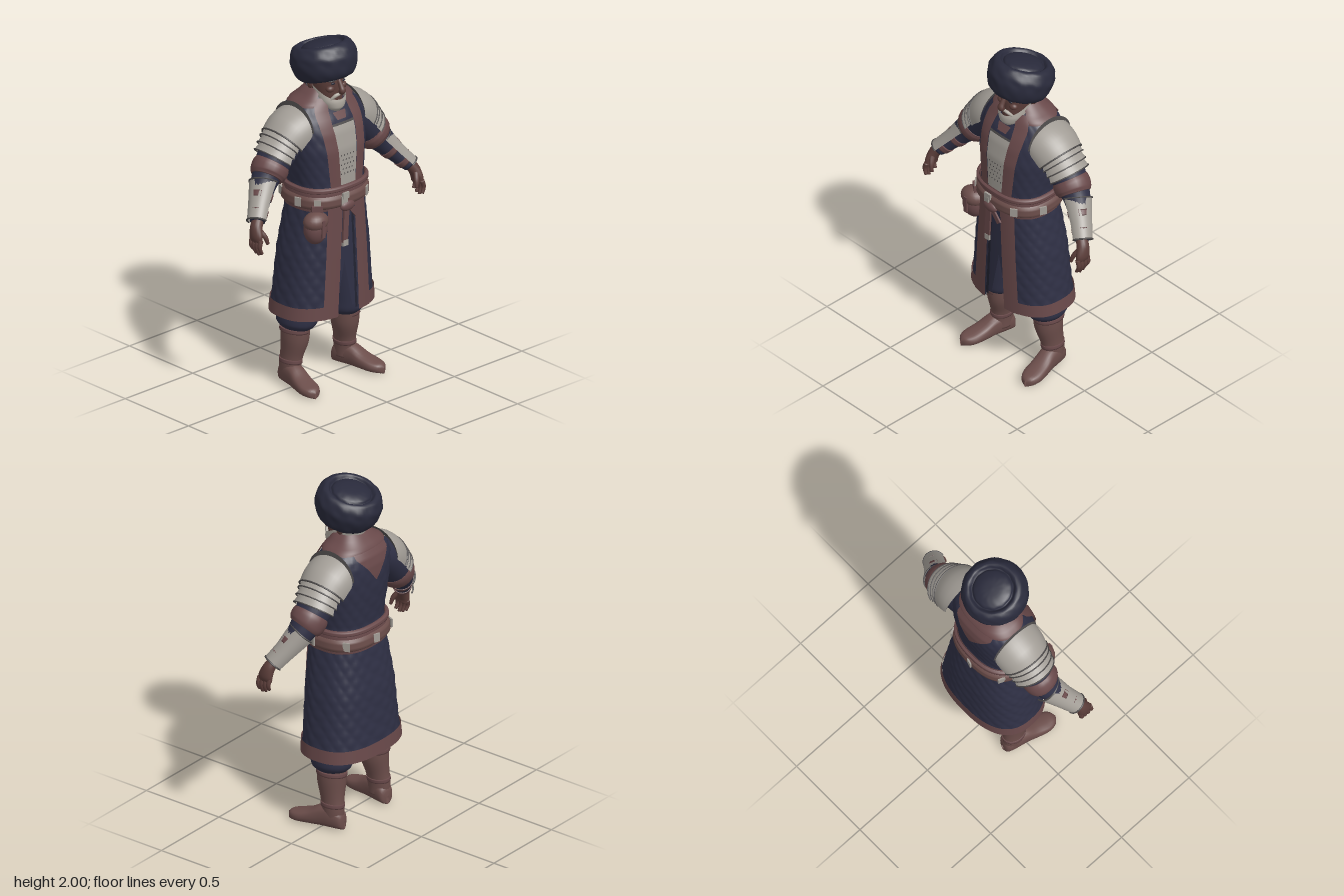
import * as THREE from 'three';
import { mergeVertices } from 'three/addons/utils/BufferGeometryUtils.js';

const mat = (name, color) => new THREE.MeshStandardMaterial({ name, color, side: THREE.DoubleSide });
const { PI, sin, cos, abs, sign, max, min } = Math;
const lerp = THREE.MathUtils.lerp;
const V = (a) => new THREE.Vector3(a[0], a[1], a[2]);

// Surface from a rule f(u, v) -> [x, y, z]
function grid(nu, nv, f) {
  const pos = [], idx = [];
  for (let j = 0; j <= nv; j++) for (let i = 0; i <= nu; i++) pos.push(...f(i / nu, j / nv));
  for (let j = 0; j < nv; j++) for (let i = 0; i < nu; i++) {
    const a = j * (nu + 1) + i, b = a + nu + 1;
    idx.push(a, a + 1, b, a + 1, b + 1, b);
  }
  let g = new THREE.BufferGeometry();
  g.setAttribute('position', new THREE.Float32BufferAttribute(pos, 3));
  g.setIndex(idx);
  g = mergeVertices(g, 1e-5);
  g.computeVertexNormals();
  return g;
}
function mirror(geo) {
  const g = geo.clone().toNonIndexed().scale(-1, 1, 1), p = g.attributes.position, n = g.attributes.normal;
  for (const at of [p, n]) for (let i = 0; i < at.count; i += 3) {
    const b = V([at.getX(i + 1), at.getY(i + 1), at.getZ(i + 1)]);
    at.setXYZ(i + 1, at.getX(i + 2), at.getY(i + 2), at.getZ(i + 2));
    at.setXYZ(i + 2, b.x, b.y, b.z);
  }
  return g;
}
// Smooth interpolation through rows of numbers
function spline(rows, t) {
  const n = rows.length - 1, x = min(max(t, 0), 1) * n, i = min(Math.floor(x), n - 1), f = x - i;
  const [a, b, c, d] = [rows[max(i - 1, 0)], rows[i], rows[i + 1], rows[min(i + 2, n)]];
  return b.map((p, k) => p + 0.5 * f * (c[k] - a[k] + f * (2 * a[k] - 5 * p + 4 * c[k] - d[k] + f * (3 * (p - c[k]) + d[k] - a[k]))));
}
// Limb through rows [x, y, z, radius, depth radius], closed at both ends
function sweep(rows, nu = 20, nv = 24) {
  rows = rows.map((r) => [r[0], r[1], r[2], r[3], r[4] ?? r[3]]);
  return grid(nu, nv + 2, (u, v) => {
    const j = v * (nv + 2), t = min(max((j - 1) / nv, 0), 1), end = j < 0.5 || j > nv + 1.5;
    const p = spline(rows, t), T = V(spline(rows, t + 0.02)).sub(V(spline(rows, t - 0.02))).normalize();
    const n = new THREE.Vector3().crossVectors(T, abs(T.z) > 0.9 ? V([0, 1, 0]) : V([0, 0, 1])).normalize();
    const b = new THREE.Vector3().crossVectors(T, n), a = u * 2 * PI, k = end ? 0 : 1;
    return V(p).addScaledVector(n, k * p[3] * cos(a)).addScaledVector(b, k * p[4] * sin(a)).toArray();
  });
}
// Upright body profile: rows [y, half width, front z, back z]; angle 0 faces the front
function at(rows, y) {
  let i = 0;
  while (i < rows.length - 2 && y > rows[i + 1][0]) i++;
  const f = min(max((y - rows[i][0]) / (rows[i + 1][0] - rows[i][0]), 0), 1);
  return rows[i].map((p, k) => lerp(p, rows[i + 1][k], f));
}
function ring(rows, y, a, off = 0, e = 0.8) {
  const [, rx, zf, zb] = at(rows, y), c = (zf + zb) / 2, rz = (zf - zb) / 2;
  return [(rx + off) * sign(sin(a)) * abs(sin(a)) ** e, y, c + (rz + off) * sign(cos(a)) * abs(cos(a)) ** e];
}
const angleAt = (rows, y, x) => {
  const q = min(abs(x) / at(rows, y)[1], 1);
  return sign(x) * Math.asin(q ** 1.25);
};
// Cloth panel lying on a profile: rows [y, x0, x1]
const panel = (rows, list, off, back = false) => grid(8, 24, (u, v) => {
  const [y, x0, x1] = at(list, lerp(list[0][0], list[list.length - 1][0], v));
  const a = angleAt(rows, y, lerp(x0, x1, u));
  return ring(rows, y, back ? PI - a : a, off);
});
// Curved armour plate from arcs {c, u, w, r, rw}
const arcPoint = (s, a) => V(s.c).addScaledVector(V(s.u).normalize(), s.r * cos(a)).addScaledVector(V(s.w), s.rw * sin(a));
const shell = (arcs, half) => grid(24, arcs.length - 1, (u, v) =>
  arcPoint(arcs[Math.round(v * (arcs.length - 1))], lerp(-half, half, u)).toArray());
const rim = (s, half, r) => new THREE.TubeGeometry(new THREE.CatmullRomCurve3(
  Array.from({ length: 13 }, (_, i) => arcPoint(s, lerp(-half, half, i / 12)))), 32, r, 6);

const COAT = [[0.43, 0.3, 0.19, -0.222], [0.8, 0.262, 0.19, -0.2], [1.08, 0.215, 0.187, -0.165], [1.2, 0.208, 0.185, -0.155],
  [1.4, 0.232, 0.183, -0.178], [1.5, 0.236, 0.163, -0.184], [1.56, 0.232, 0.138, -0.182], [1.61, 0.215, 0.108, -0.17],
  [1.65, 0.175, 0.09, -0.145], [1.68, 0.125, 0.07, -0.115], [1.72, 0.085, 0.05, -0.08]];
const HEAD = [[1.615, 0.03, 0.11, 0.03], [1.65, 0.065, 0.122, -0.04], [1.7, 0.08, 0.123, -0.085], [1.76, 0.088, 0.126, -0.1],
  [1.82, 0.09, 0.122, -0.105], [1.88, 0.08, 0.1, -0.1]];
const BEARD = [[1.595, 0.03, 0.115, 0.05], [1.62, 0.058, 0.132, 0], [1.66, 0.076, 0.137, -0.03], [1.75, 0.093, 0.132, -0.08]];

export function createModel() {
  const root = new THREE.Group();
  const navy = mat('navy cloth', 0x2f3045), dark = mat('dark lining', 0x222331), leather = mat('brown leather', 0x69494a),
    boot = mat('boot leather', 0x6b4d4a), skin = mat('skin', 0x5c3e3a), steel = mat('pale steel', 0xa29d96),
    edge = mat('dark steel', 0x4d4a4a), hair = mat('white hair', 0xaea89f), fur = mat('fur', 0x292a3b);
  const add = (name, geo, m, pair = false) => {
    for (const g of pair ? [geo, mirror(geo)] : [geo]) {
      const mesh = new THREE.Mesh(g, m);
      mesh.name = pair ? (g === geo ? 'left ' : 'right ') + name : name;
      root.add(mesh);
    }
  };
  const ball = (x, y, z, rx, ry, rz) => new THREE.SphereGeometry(1, 20, 14).scale(rx, ry, rz).translate(x, y, z);
  const box = (x, y, z, w, h, d, ry = 0) => new THREE.BoxGeometry(w, h, d).rotateY(ry).translate(x, y, z);

  // Quilted coat with an open front below the belt
  const quilt = (y, a) => 0.004 * abs(sin(a * 9 + y * 32) * sin(a * 9 - y * 32));
  const gap = (y) => lerp(0.075, 0.04, (y - 0.43) / 0.65);
  const skirt = (y0, y1, off, q, nv) => grid(110, nv, (u, v) => {
    const y = lerp(y0, y1, v), g = angleAt(COAT, y, gap(y)), a = lerp(g, 2 * PI - g, u);
    return ring(COAT, y, a, off + (q ? quilt(y, a) : 0));
  });
  const band = (y0, y1, off, a0 = 0, nv = 6) => grid(64, nv, (u, v) =>
    ring(COAT, lerp(y0, y1, v), lerp(a0, 2 * PI - a0, u), off * (v > 0 && v < 1 ? 1 : 0.55)));
  add('coat body', grid(96, 50, (u, v) => ring(COAT, lerp(1.06, 1.72, v), u * 2 * PI, quilt(lerp(1.06, 1.72, v), u * 2 * PI) * 0.8)), navy);
  add('coat skirt', skirt(0.43, 1.1, 0, true, 60), navy);
  add('coat lining', skirt(0.435, 1.1, -0.012, false, 8), dark);
  add('hem trim', skirt(0.43, 0.505, 0.01, false, 4), leather);
  add('skirt border', panel(COAT, [[0.43, 0.075, 0.165], [1.1, 0.04, 0.125]], 0.012), leather, true);
  add('inner robe', panel(COAT, [[0.45, 0.065, 0.12], [0.73, 0, 0.1], [1.1, 0, 0.1]], -0.025), navy, true);
  add('lapel', panel(COAT, [[1.18, 0.048, 0.108], [1.35, 0.06, 0.125], [1.54, 0.075, 0.145], [1.61, 0.068, 0.145], [1.68, 0.05, 0.115]], 0.013), leather, true);
  add('collar', band(1.64, 1.725, 0.014, 0.75), leather);
  add('back yoke', panel(COAT, [[1.47, -0.004, 0.004], [1.55, -0.065, 0.065], [1.62, -0.125, 0.125], [1.68, -0.12, 0.12]], 0.009, true), leather);

  // Breastplate with studs
  add('breastplate', panel(COAT, [[1.18, -0.055, 0.055], [1.54, -0.078, 0.078]], 0.007), steel);
  add('breastplate rim', panel(COAT, [[1.535, -0.078, 0.078], [1.547, -0.078, 0.078]], 0.011), edge);
  add('throat band', panel(COAT, [[1.56, -0.03, 0.03], [1.6, -0.045, 0.045]], 0.008), leather);
  for (let r = 0; r < 5; r++) for (let c = -2; c <= 2; c++) {
    const x = c * 0.022 + (r % 2 ? 0.009 : -0.002), y = 1.26 + r * 0.027;
    if (abs(x) < 0.05) add('stud', new THREE.CircleGeometry(0.0065, 4).scale(0.7, 1, 1)
      .translate(x, y, ring(COAT, y, angleAt(COAT, y, x))[2] + 0.0095), edge);
  }

  // Belt, plates, hanging strap and pouch
  add('waist sash', band(1.06, 1.195, 0.014), leather);
  add('upper belt', band(1.165, 1.195, 0.026), leather);
  add('lower belt', band(1.075, 1.145, 0.026), boot);
  for (const a of [-0.85, -0.12, 0.55, 1.4, 2.3, PI, 4, 4.85]) {
    const [x, y, z] = ring(COAT, 1.112, a, 0.028);
    add('belt plate', box(x, y, z, 0.04, 0.05, 0.009, Math.atan2(x, z) * 0.9), steel);
  }
  add('buckle', box(-0.035, 1.14, 0.214, 0.045, 0.035, 0.012), steel);
  add('knot', ball(-0.02, 1.075, 0.21, 0.05, 0.03, 0.02), leather);
  add('hanging strap', new THREE.BoxGeometry(0.036, 0.2, 0.012).rotateZ(-0.06).translate(-0.035, 0.965, 0.212), leather);
  add('strap tip', box(-0.04, 0.862, 0.212, 0.036, 0.035, 0.014), steel);
  add('side strap', new THREE.BoxGeometry(0.03, 0.1, 0.01).rotateZ(0.7).translate(0.02, 1.04, 0.212), leather);
  add('pouch', ball(-0.205, 0.975, 0.155, 0.07, 0.088, 0.06), leather);
  add('pouch flap', ball(-0.207, 1.02, 0.16, 0.075, 0.055, 0.062), boot);
  add('pouch strap', box(-0.205, 0.99, 0.217, 0.022, 0.1, 0.012), leather);
  add('pouch loop', box(-0.19, 1.075, 0.15, 0.06, 0.06, 0.04, -0.6), leather);

  // Arms with cuffs and bracers
  add('sleeve', sweep([[0.15, 1.52, -0.03, 0.1, 0.12], [0.27, 1.44, -0.03, 0.108], [0.36, 1.345, -0.025, 0.095], [0.43, 1.265, -0.01, 0.074],
    [0.5, 1.18, 0.03, 0.056], [0.565, 1.1, 0.08, 0.042]], 24, 36), navy, true);
  add('elbow band', sweep([[0.355, 1.35, -0.025, 0.098], [0.372, 1.33, -0.023, 0.104], [0.395, 1.302, -0.018, 0.1], [0.41, 1.285, -0.013, 0.088]]), leather, true);
  for (const [x, y, z, r] of [[0.47, 1.215, 0.012, 0.066], [0.528, 1.146, 0.052, 0.055]])
    add('forearm strap', sweep([[x, y, z, r], [x + 0.02, y - 0.025, z + 0.013, r - 0.004]], 20, 4), leather, true);
  const guard = [[0.425, 1.258, -0.015, 0.08], [0.45, 1.23, 0, 0.074], [0.505, 1.165, 0.035, 0.062], [0.56, 1.1, 0.075, 0.056]]
    .map(([x, y, z, r]) => ({ c: [x, y, z], u: [0.8, 0.59, 0], w: [-0.23, 0.31, 0.91], r, rw: r * 1.05 }));
  add('bracer', shell(guard, 1.6), steel, true);
  for (const s of [guard[0], guard[3]]) add('bracer rim', rim(s, 1.6, 0.005), edge, true);

  // Shoulder armour: dome and overlapping plates
  const arc = (x, y, ux, uy, r, rw) => ({ c: [x, y, -0.03], u: [ux, uy, 0], w: [0, 0, 1], r, rw });
  const dome = [arc(0.195, 1.51, 0, 1, 0.125, 0.15), arc(0.21, 1.495, 0.25, 0.97, 0.132, 0.152), arc(0.23, 1.48, 0.45, 0.89, 0.134, 0.15),
    arc(0.25, 1.46, 0.55, 0.83, 0.135, 0.147), arc(0.27, 1.44, 0.64, 0.77, 0.13, 0.142)];
  add('shoulder plate', shell(dome, 1.6), steel, true);
  add('shoulder collar', shell([arc(0.195, 1.51, 0, 1, 0.125, 0.15), arc(0.19, 1.51, 0, 1, 0.15, 0.158)], 1.5), edge, true);
  add('shoulder rim', rim(dome[4], 1.6, 0.005), edge, true);
  const lames = [[0.265, 1.445, 0.64], [0.285, 1.42, 0.69], [0.307, 1.392, 0.74], [0.33, 1.362, 0.78]];
  for (let i = 0; i < 3; i++) {
    const [a, b] = [lames[i], lames[i + 1]], up = (p) => Math.sqrt(1 - p[2] ** 2), r = 0.123 - i * 0.004;
    const low = arc(b[0], b[1], b[2], up(b), r + 0.007, r + 0.014);
    add('arm plate', shell([arc(a[0], a[1], a[2], up(a), r - 0.003, r + 0.004), low], 1.5), steel, true);
    add('arm plate rim', rim(low, 1.5, 0.004), edge, true);
  }

  // Hands
  add('palm', sweep([[0.56, 1.105, 0.078, 0.032], [0.582, 1.075, 0.09, 0.032, 0.036], [0.595, 1.03, 0.102, 0.026, 0.044], [0.593, 1.0, 0.106, 0.018, 0.042]]), skin, true);
  for (let i = 0; i < 4; i++) {
    const z = 0.072 + i * 0.023, l = [0.05, 0.065, 0.07, 0.06][i];
    add('finger', sweep([[0.596, 1.015, z, 0.014], [0.607, 1 - l * 0.4, z + 0.003, 0.012], [0.593, 1 - l, z + 0.006, 0.009]], 8, 8), skin, true);
  }
  add('thumb', sweep([[0.578, 1.06, 0.115, 0.016], [0.56, 1.025, 0.138, 0.014], [0.55, 0.985, 0.148, 0.009]], 8, 8), skin, true);

  // Trousers and boots
  add('trouser leg', sweep([[0.12, 0.9, -0.01, 0.11], [0.15, 0.6, -0.015, 0.11, 0.115], [0.172, 0.44, -0.02, 0.112, 0.118], [0.176, 0.37, -0.025, 0.108, 0.115], [0.178, 0.335, -0.027, 0.075, 0.085]]), navy, true);
  add('boot shaft', sweep([[0.182, 0.355, -0.027, 0.074, 0.088], [0.185, 0.27, -0.03, 0.073, 0.084], [0.195, 0.18, -0.042, 0.058, 0.07], [0.2, 0.12, -0.048, 0.054, 0.068], [0.2, 0.05, -0.048, 0.052, 0.066]]), boot, true);
  for (const [y, r] of [[0.325, 0.077], [0.14, 0.058]])
    add('boot strap', sweep([[0.185 + (0.325 - y) * 0.07, y + 0.012, -0.03 - (0.325 - y) * 0.09, r, r + 0.013], [0.187 + (0.325 - y) * 0.07, y - 0.012, -0.03 - (0.325 - y) * 0.09, r, r + 0.013]], 20, 3), leather, true);
  const foot = [[0, 0.01, 0.05], [0.04, 0.042, 0.1], [0.2, 0.052, 0.135], [0.4, 0.052, 0.125], [0.6, 0.057, 0.088], [0.8, 0.058, 0.066], [0.94, 0.038, 0.054], [1, 0.004, 0.035]];
  add('foot', grid(20, 28, (u, v) => {
    const [t, w, h] = spline(foot, v), a = u * 2 * PI, s = w * cos(a);
    return [0.188 + 0.066 * t + s * 0.98, max(0, h * (0.5 + 0.5 * sign(sin(a)) * abs(sin(a)) ** 0.7)), -0.12 + 0.33 * t - s * 0.2];
  }), boot, true);

  // Head and face
  add('neck', new THREE.CylinderGeometry(0.062, 0.07, 0.16, 20).translate(0, 1.66, -0.015), skin);
  add('head', grid(32, 20, (u, v) => ring(HEAD, lerp(1.615, 1.88, v), u * 2 * PI, 0, 0.95)), skin);
  add('nose', sweep([[0, 1.79, 0.118, 0.012], [0, 1.75, 0.14, 0.015], [0, 1.726, 0.152, 0.02, 0.016], [0, 1.712, 0.135, 0.014]], 12, 12), skin);
  add('brow', ball(0.038, 1.787, 0.112, 0.032, 0.009, 0.014), edge, true);
  add('eye', ball(0.037, 1.768, 0.115, 0.015, 0.006, 0.007), dark, true);
  add('cheek', ball(0.045, 1.735, 0.1, 0.026, 0.02, 0.022), skin, true);
  add('ear', ball(0.09, 1.75, -0.01, 0.014, 0.032, 0.02), skin, true);
  add('beard', grid(28, 12, (u, v) => {
    const a = lerp(-1.75, 1.75, u);
    return ring(BEARD, lerp(1.595, 1.672 + 0.025 * a * a, v), a, 0.006 * sin(v * PI), 0.95);
  }), hair);
  add('beard underside', ball(0, 1.622, 0.075, 0.05, 0.028, 0.055), hair);
  add('moustache', sweep([[0.002, 1.705, 0.134, 0.008], [0.03, 1.698, 0.128, 0.01], [0.055, 1.672, 0.108, 0.006]], 10, 10), hair, true);
  add('back hair', grid(24, 6, (u, v) => ring(HEAD, lerp(1.69, 1.8, v), lerp(1.75, 2 * PI - 1.75, u), 0.008, 0.95)), hair);

  // Fur hat: thick tilted roll with a sunken seam round the crown
  const profile = [[0, -0.07], [0.09, -0.085], [0.135, -0.1], [0.168, -0.065], [0.184, 0], [0.18, 0.045], [0.158, 0.085], [0.132, 0.094],
    [0.114, 0.074], [0.1, 0.09], [0.06, 0.104], [0, 0.108]];
  add('fur hat', grid(56, 48, (u, v) => {
    const a = u * 2 * PI, [r, y] = spline(profile, v);
    const k = 1 + 0.014 * sin(a * 7 + v * 19) * sin(a * 4 - v * 31) + 0.01 * sin(a * 13) * sin(v * 43);
    return [max(r, 0) * k * sin(a), y, max(r, 0) * k * cos(a)];
  }).rotateX(-0.26).translate(0, 1.868, 0.003), fur);

  return root;
}
